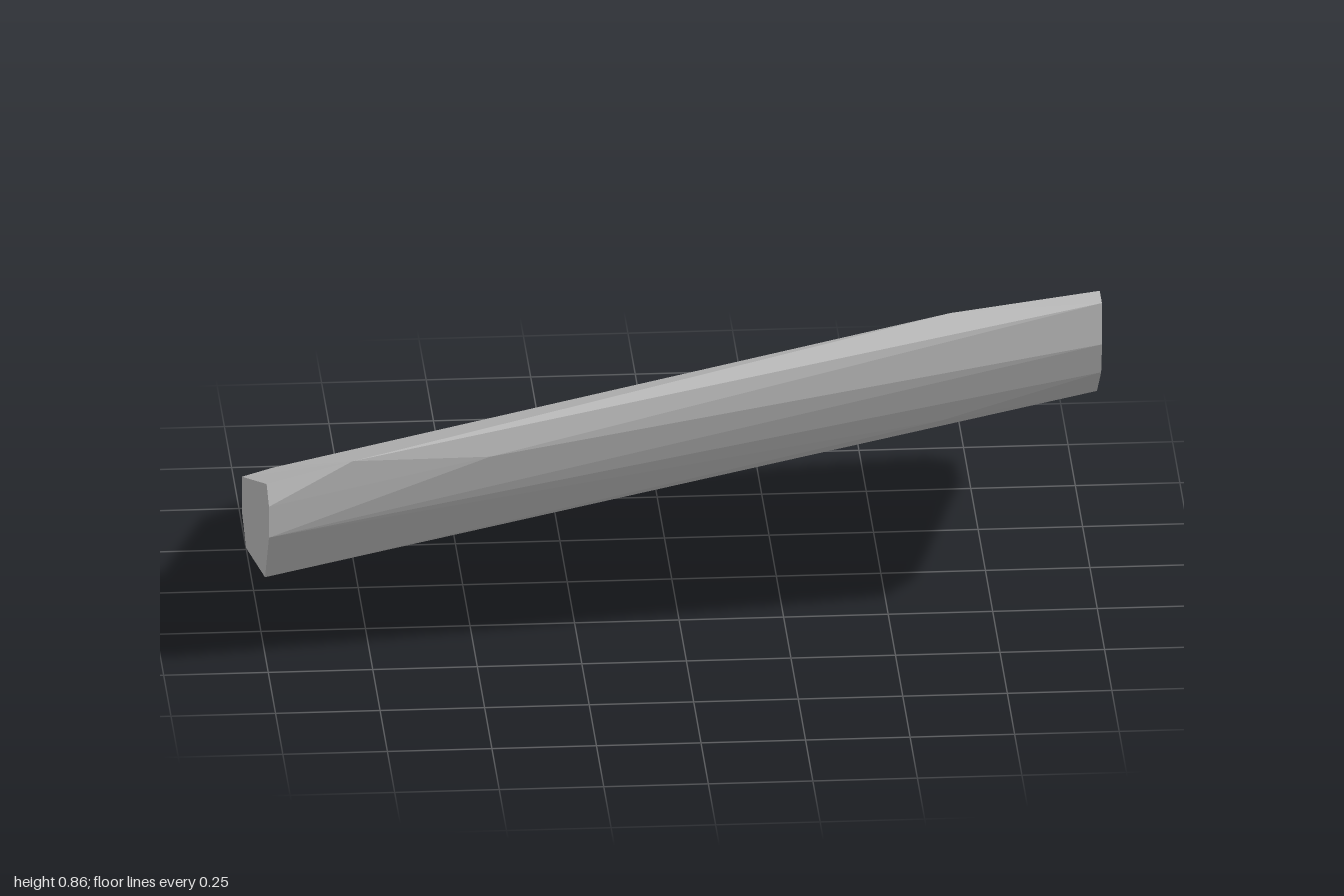
import * as THREE from 'three';
import { ConvexGeometry } from 'three/addons/geometries/ConvexGeometry.js';

export function createModel() {
  const group = new THREE.Group();
  group.name = 'stoneSlab';
  const stone = new THREE.MeshStandardMaterial({ color: 0xbcbcbc });
  stone.name = 'stone grey';
  stone.flatShading = true;

  // Each end is a flat outline of [y, z] points
  const endOutline = (x, outline) => outline.map(([y, z]) => new THREE.Vector3(x, y, z));
  const highEnd = endOutline(1, [
    [0.86, 0.41], [0.86, 0.335], [0.46, -0.53], [0.37, -0.53],
    [0.363, -0.41], [0.56, 0.24], [0.67, 0.385], [0.755, 0.415],
  ]);
  const lowEnd = endOutline(-1, [
    [0.465, 0.445], [0.44, 0.525], [0.36, 0.525], [0.2, 0.39],
    [0, -0.26], [0.035, -0.4], [0.125, -0.4],
  ]);

  // Chipped corners along the long edges
  const chips = [
    [-0.8, 0.55, 0.52], [0.64, 0.83, 0.375], // top front
    [-0.47, 0.55, 0.515], [0.62, 0.55, 0.37], // lower front
    [-0.92, 0.11, -0.485], [-0.5, 0.09, -0.495], [0.52, 0.255, -0.485], // back
  ].map((p) => new THREE.Vector3(...p));

  // Faceted slab spanning both ends
  const slab = new THREE.Mesh(new ConvexGeometry([...highEnd, ...lowEnd, ...chips]), stone);
  slab.name = 'slab';
  group.add(slab);
  return group;
}
